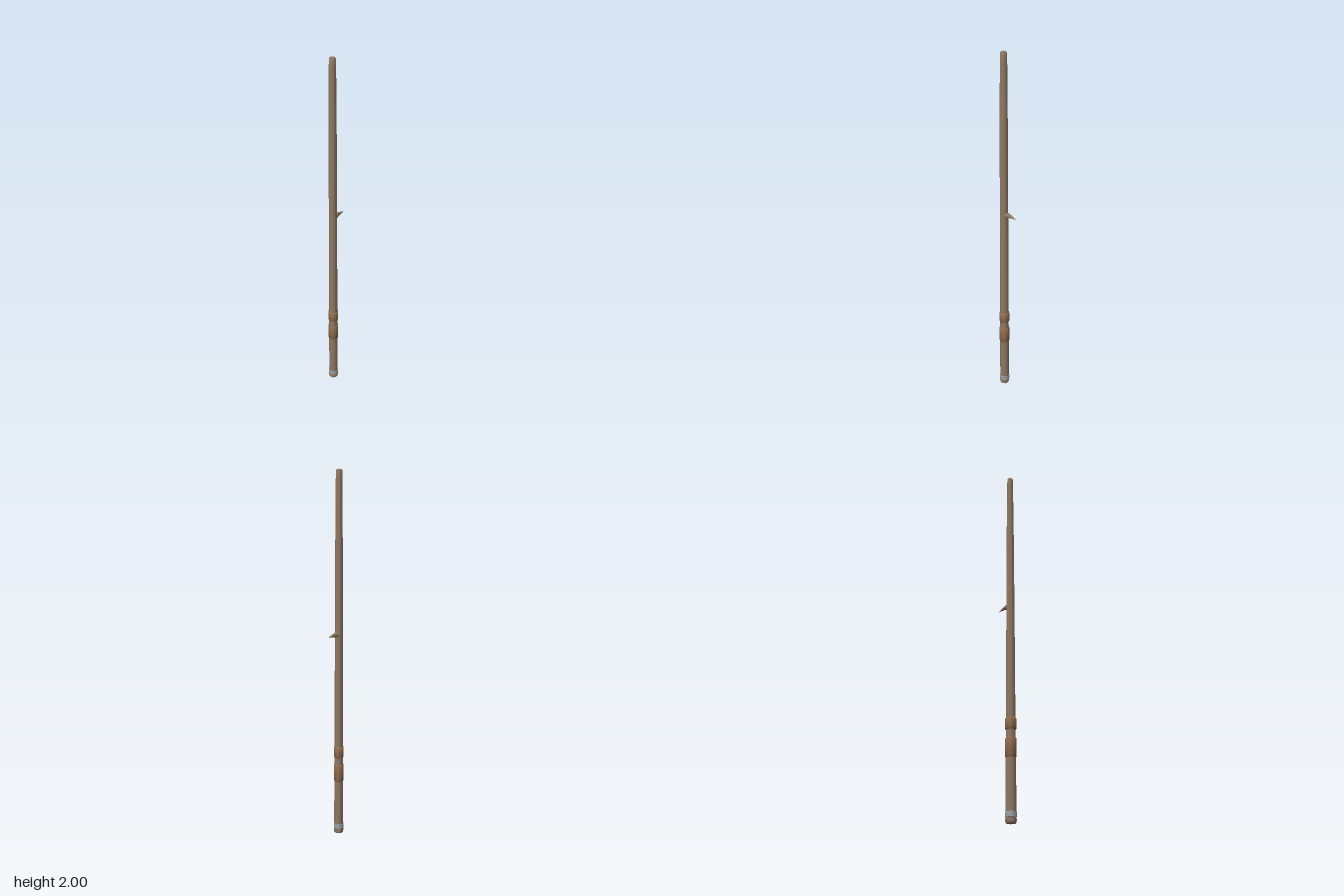
import * as THREE from 'three';
import { toCreasedNormals } from 'three/addons/utils/BufferGeometryUtils.js';

const AXIS_X = -0.031;
const SIDES = 10;

const paint = (color) => new THREE.MeshStandardMaterial({ color });
const wood = paint(0x8f7863);
const leather = paint(0x916c4e);
const metal = paint(0x9da1a3);

// Ten-sided turned part from [radius, height] points, bottom to top
function turned(name, points, material) {
  const profile = points.map(([r, y]) => new THREE.Vector2(r, y));
  const lathe = new THREE.LatheGeometry(profile, SIDES).rotateY(Math.PI / 2);
  const mesh = new THREE.Mesh(toCreasedNormals(lathe, 0.7), material);
  mesh.name = name;
  mesh.position.x = AXIS_X;
  return mesh;
}

// Bevelled sleeve wrapped round the shaft
function sleeve(name, y0, y1, r, bevel, material) {
  return turned(name, [
    [r - 0.005, y0], [r, y0 + bevel], [r, y1 - bevel], [r - 0.005, y1],
  ], material);
}

// Tapering peg, bent downward towards its tip
function peg() {
  const length = 0.077;
  const geometry = new THREE.ConeGeometry(0.017, length, SIDES, 8);
  geometry.rotateZ(-Math.PI / 2).translate(length / 2, 0, 0);
  const pos = geometry.attributes.position;
  for (let i = 0; i < pos.count; i++) {
    const t = pos.getX(i) / length;
    pos.setY(i, pos.getY(i) + 0.014 * t - 0.02 * t * t);
  }
  const mesh = new THREE.Mesh(toCreasedNormals(geometry, 0.8), wood);
  mesh.name = 'peg';
  mesh.position.set(-0.02, 1.147, 0);
  return mesh;
}

export function createModel() {
  const staff = new THREE.Group();
  staff.name = 'staff';
  staff.add(
    // Tapered pole with a softened top
    turned('shaft', [
      [0, 0], [0.024, 0], [0.0265, 0.004], [0.0265, 0.06], [0.0255, 0.32],
      [0.024, 0.55], [0.0225, 1.1], [0.0205, 1.6], [0.0175, 1.95],
      [0.0165, 1.994], [0.013, 1.999], [0, 2],
    ], wood),
    // Hand grips
    sleeve('lowerGrip', 0.312, 0.415, 0.0285, 0.006, leather),
    sleeve('upperGrip', 0.452, 0.518, 0.0285, 0.006, leather),
    // Foot bands
    sleeve('footBand', 0.026, 0.056, 0.0285, 0.003, metal),
    sleeve('footRing', 0.008, 0.022, 0.0278, 0.002, wood),
    peg(),
  );
  return staff;
}
